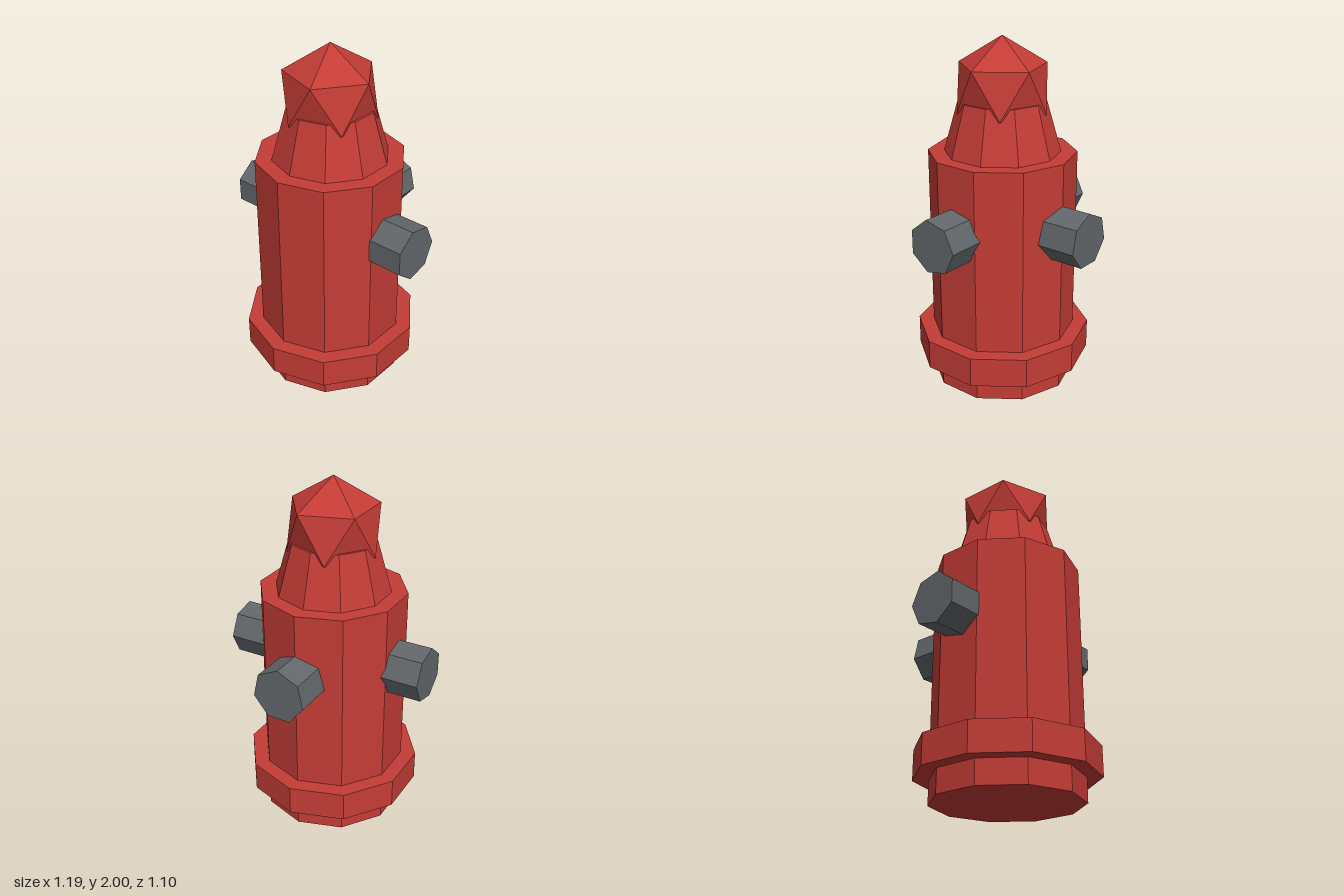
import * as THREE from 'three';
import { ConvexGeometry } from 'three/addons/geometries/ConvexGeometry.js';

const AXIS_Z = 0.042; // the barrel sits slightly forward of the origin

export function createModel() {
  const group = new THREE.Group();
  const red = new THREE.MeshStandardMaterial({ color: 0xc43c36, flatShading: true });
  const grey = new THREE.MeshStandardMaterial({ color: 0x62676b, flatShading: true });

  const add = (name, geometry, material, x, y, z) => {
    const mesh = new THREE.Mesh(geometry, material);
    mesh.name = name;
    mesh.position.set(x, y, z);
    group.add(mesh);
    return mesh;
  };

  // Ten-sided upright sections
  const section = (name, rTop, rBottom, y0, y1) =>
    add(name, new THREE.CylinderGeometry(rTop, rBottom, y1 - y0, 10), red, 0, (y0 + y1) / 2, AXIS_Z);
  section('barrel', 0.417, 0.417, 0, 1.362);
  section('baseFlange', 0.504, 0.504, 0.135, 0.306);
  section('bonnet', 0.243, 0.326, 1.362, 1.652);

  // Icosahedral cap standing on one of its points
  const R = 0.285;
  const points = [new THREE.Vector3(0, R, 0), new THREE.Vector3(0, -R, 0)];
  for (let i = 0; i < 10; i++) {
    const a = (i * Math.PI) / 5;
    const y = (i % 2 ? -R : R) / Math.sqrt(5);
    const r = (2 * R) / Math.sqrt(5);
    points.push(new THREE.Vector3(r * Math.cos(a), y, r * Math.sin(a)));
  }
  add('cap', new ConvexGeometry(points), red, 0, 2 - R, AXIS_Z);

  // Seven-sided side outlets, one corner pointing backwards
  for (const [name, side] of [['leftOutlet', 1], ['rightOutlet', -1]]) {
    const geometry = new THREE.CylinderGeometry(0.153, 0.153, 0.295, 7, 1, false, Math.PI);
    geometry.rotateZ(-side * Math.PI / 2);
    add(name, geometry, grey, side * 0.446, 0.97, AXIS_Z);
  }

  // Rear outlet, one corner pointing up
  const rear = new THREE.CylinderGeometry(0.155, 0.155, 0.3, 7);
  rear.rotateX(-Math.PI / 2);
  add('rearOutlet', rear, grey, 0, 0.97, -0.4);

  return group;
}
